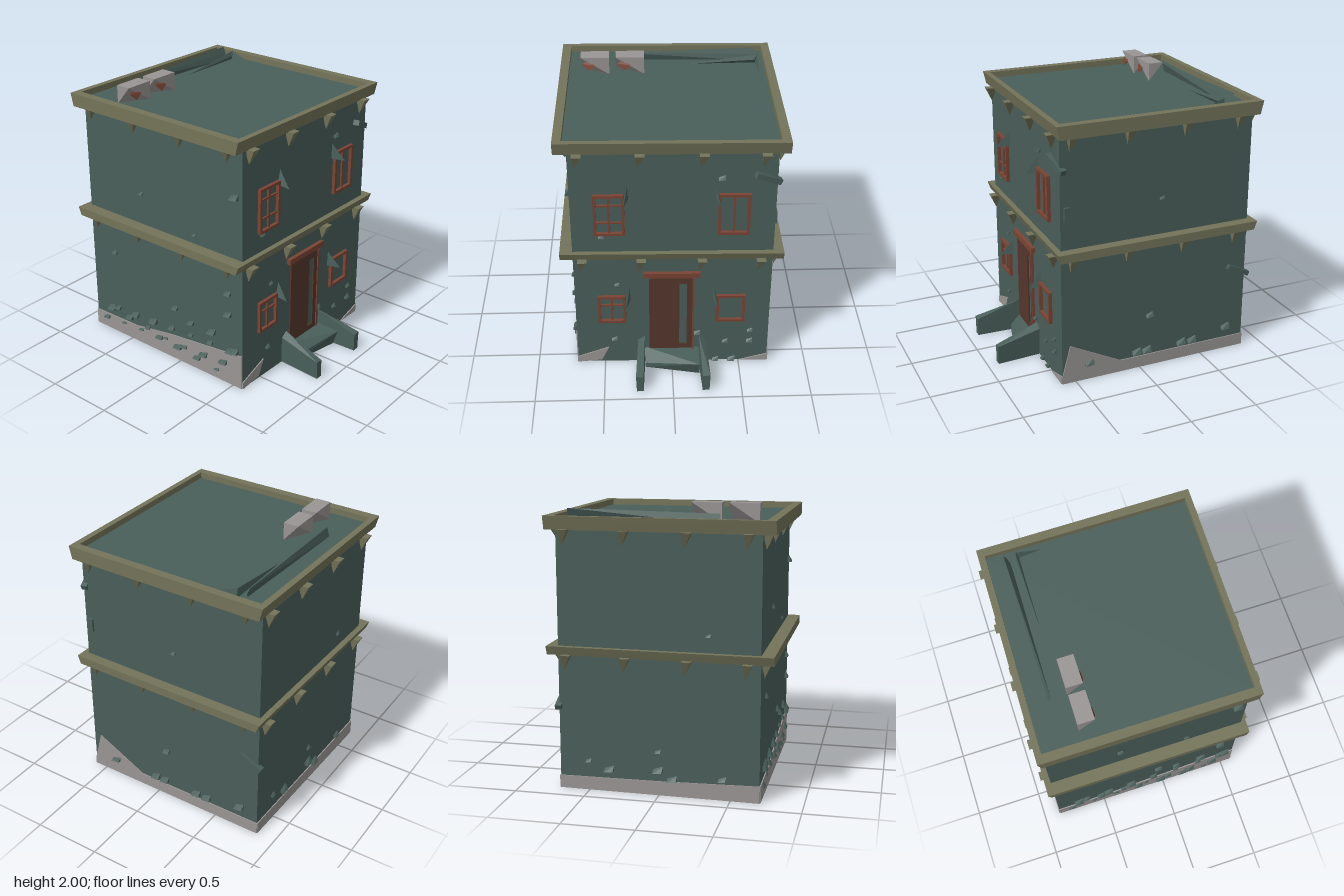
import * as THREE from 'three';
import { ConvexGeometry } from 'three/addons/geometries/ConvexGeometry.js';

const mat = (name, color) => {
  const m = new THREE.MeshStandardMaterial({ color, side: THREE.DoubleSide });
  m.name = name;
  return m;
};

export function createModel() {
  const root = new THREE.Group();
  root.name = 'ruinedHouse';
  const teal = mat('tealPlaster', 0x4a5f5a);
  const tan = mat('oliveStone', 0x74745a);
  const grey = mat('greyStone', 0x9a9595);
  const wood = mat('redWood', 0x7a4434);
  const door = mat('darkWood', 0x55362c);

  const add = (parent, name, geo, m, x = 0, y = 0, z = 0) => {
    const mesh = new THREE.Mesh(geo, m);
    mesh.name = name;
    mesh.position.set(x, y, z);
    parent.add(mesh);
    return mesh;
  };
  const hull = (pts) => new ConvexGeometry(pts.map((p) => new THREE.Vector3(...p)));
  const box = (parent, name, m, x0, x1, y0, y1, z0, z1) =>
    add(parent, name, new THREE.BoxGeometry(x1 - x0, y1 - y0, z1 - z0), m, (x0 + x1) / 2, (y0 + y1) / 2, (z0 + z1) / 2);
  const plate = (parent, name, m, pts, depth, z = 0, hole) => {
    const shape = new THREE.Shape(pts.map((p) => new THREE.Vector2(...p)));
    if (hole) shape.holes.push(new THREE.Path(hole.map((p) => new THREE.Vector2(...p))));
    return add(parent, name, new THREE.ExtrudeGeometry(shape, { depth, bevelEnabled: false }), m, 0, 0, z);
  };
  const rect = (a, b, c, d) => [[a, c], [b, c], [b, d], [a, d]];

  // Slightly skewed plan corners: front left, front right, back right, back left
  const wallPlan = [[-0.70, 0.58], [0.713, 0.60], [0.713, -0.85], [-0.70, -0.875]];
  const bandPlan = [[-0.79, 0.615], [0.787, 0.645], [0.79, -0.89], [-0.79, -0.92]];
  const rimPlan = [[-0.73, 0.575], [0.725, 0.60], [0.73, -0.845], [-0.725, -0.875]];
  const centre = [[0, -0.13], [0, -0.13], [0, -0.13], [0, -0.13]];
  const ring = (plan, y, k = 1) => plan.map(([x, z]) => new THREE.Vector3(x, y, (z + 0.13) * k - 0.13));

  // Flat-faced skin through four-cornered rings
  const loft = (rings) => {
    const pts = [];
    for (let r = 0; r + 1 < rings.length; r++) {
      for (let i = 0; i < 4; i++) {
        const j = (i + 1) % 4;
        const [a, b, c, d] = [rings[r][i], rings[r][j], rings[r + 1][j], rings[r + 1][i]];
        if (a.distanceTo(b) > 1e-4) pts.push(a, b, c);
        if (c.distanceTo(d) > 1e-4) pts.push(a, c, d);
      }
    }
    const g = new THREE.BufferGeometry().setFromPoints(pts);
    g.computeVertexNormals();
    return g;
  };

  add(root, 'walls', loft([ring(wallPlan, 0), ring(wallPlan, 1.84)]), teal);
  add(root, 'roof', loft([ring(rimPlan, 1.87), ring(centre, 1.87)]), teal);
  add(root, 'cornice', loft([ring(wallPlan, 1.82), ring(bandPlan, 1.82, 0.97), ring(bandPlan, 1.915),
    ring(rimPlan, 1.915), ring(rimPlan, 1.87)]), tan);
  add(root, 'floorBand', loft([ring(centre, 0.96), ring(bandPlan, 0.96, 0.97), ring(bandPlan, 1.022),
    ring(wallPlan, 1.022)]), tan);

  // One group per wall: local x runs along the wall, local z points outward
  const sides = ['front', 'right', 'back', 'left'].map((name, i) => {
    const [a, b] = [wallPlan[i], wallPlan[(i + 1) % 4]];
    const g = new THREE.Group();
    g.name = name + 'Side';
    g.position.set((a[0] + b[0]) / 2, 0, (a[1] + b[1]) / 2);
    g.rotation.y = Math.atan2(-(b[1] - a[1]), b[0] - a[0]);
    root.add(g);
    return g;
  });
  const [front, right, back, left] = sides;

  // Pointed brackets below both bands
  const bracket = hull([[-0.033, 0, -0.01], [0.033, 0, -0.01], [-0.033, 0, 0.065], [0.033, 0, 0.065], [-0.02, -0.11, 0.015]]);
  for (const s of sides) for (const y of [0.965, 1.825]) for (const x of [-0.64, -0.222, 0.207, 0.622]) {
    add(s, 'bracket', bracket, tan, x, y, 0);
  }

  // Exposed stone footing
  plate(right, 'footing', grey, [[-0.727, 0], [0.727, 0], [0.727, 0.09], [-0.28, 0.09], [-0.665, 0.29], [-0.727, 0.05]], 0.008);
  plate(back, 'footing', grey, [[-0.71, 0], [0.71, 0], [0.71, 0.12], [0, 0.1], [-0.71, 0.09]], 0.008);
  plate(left, 'footing', grey, [[-0.727, 0], [0.727, 0], [0.727, 0.27], [0.05, 0.19], [-0.3, 0.13], [-0.727, 0.12]], 0.008);
  plate(front, 'footing', grey, [[-0.71, 0], [-0.53, 0.02], [-0.475, 0.14], [-0.66, 0.07], [-0.71, 0.05]], 0.008);
  plate(front, 'footing', grey, [[0.5, 0], [0.705, 0], [0.705, 0.06]], 0.008);

  // Windows with bars
  const windowAt = (x0, x1, y0, y1, bars, rows) => {
    const t = 0.02;
    plate(front, 'windowFrame', wood, rect(x0, x1, y0, y1), 0.04, -0.015, rect(x0 + t, x1 - t, y0 + t, y1 - t));
    const c = (x0 + x1) / 2;
    if (bars) box(front, 'windowBar', wood, c - 0.008, c + 0.008, y0 + t, y1 - t, -0.005, 0.014);
    for (const y of rows) box(front, 'windowBar', wood, x0 + t, x1 - t, y - 0.006, y + 0.006, -0.005, 0.014);
  };
  windowAt(-0.548, -0.333, 1.17, 1.5, true, [1.27, 1.41]);
  windowAt(0.312, 0.532, 1.17, 1.5, true, []);
  windowAt(-0.543, -0.34, 0.39, 0.63, true, [0.545]);
  windowAt(0.315, 0.525, 0.39, 0.63, false, []);

  // Torn shards at the window corners
  for (const y of [0.585, 1.455]) for (const s of [-1, 1]) {
    add(front, 'windowShard', hull([[0, 0, 0], [0.03 * s, 0.01, 0], [0.005 * s, 0.115, 0], [0.03 * s, 0, 0.1]]), teal,
      s < 0 ? -0.305 : 0.29, y, 0);
  }

  // Door with glazed slot, lintel
  plate(front, 'door', door, rect(-0.172, 0.152, 0.13, 0.785), 0.012, 0, rect(0.048, 0.103, 0.17, 0.735));
  box(front, 'doorPost', wood, 0.142, 0.156, 0.13, 0.785, 0, 0.02);
  box(front, 'lintel', wood, -0.21, 0.195, 0.8, 0.84, -0.01, 0.03);

  // Broken doorstep and splayed cheek walls
  add(root, 'doorstep', hull([[-0.2, 0, 0.58], [0.2, 0, 0.58], [0.2, 0.13, 0.58], [-0.2, 0.13, 0.58],
    [-0.2, 0.04, 0.66], [-0.2, 0, 0.66], [0.2, 0.12, 0.78], [0.2, 0, 0.74]]), teal);
  for (const s of [-1, 1]) {
    add(root, 'stepCheek', hull([[0.2 * s, 0, 0.58], [0.245 * s, 0, 0.58], [0.2 * s, 0.245, 0.59], [0.25 * s, 0.21, 0.59],
      [0.215 * s, 0, 0.92], [0.265 * s, 0, 0.92], [0.215 * s, 0.135, 0.92], [0.27 * s, 0.14, 0.92]]), teal);
  }

  // Loose wedge-shaped bricks
  const brick = hull([[-0.035, 0, -0.05], [0.035, 0, -0.05], [-0.035, 0, 0.03], [0.03, 0.005, 0.03],
    [-0.03, 0.05, -0.03], [0.035, 0.045, 0.005]]);
  const bricks = (side, list) => list.forEach(([x, y, k = 1]) => add(side, 'looseBrick', brick, teal, x, y, 0).scale.setScalar(k));
  bricks(front, [[0.18, 0.26, 0.7], [0.39, 0.18, 0.6], [0.57, 0.18, 0.7], [0.57, 0.28, 0.6], [-0.43, 0.21, 0.6],
    [-0.4, 0.72, 0.5], [0.33, 1.61, 0.7], [-0.5, 1.14, 0.6], [0.44, 0, 0.8], [0.32, 0, 0.7]]);
  bricks(right, [[-0.52, 0.11], [-0.15, 0.11], [-0.07, 0.11], [0.21, 0.11], [0.3, 0.11], [0.58, 0.16],
    [-0.05, 0.39, 0.8], [0.03, 1.28, 0.5]]);
  bricks(back, [[-0.35, 0.14], [0, 0.16], [0.1, 0.1], [0, 0.3, 0.6], [0.35, 1.13, 0.5], [-0.5, 0.2, 0.6], [0.45, 0.13, 0.8]]);
  bricks(left, [[-0.5, 0.68, 0.7], [0.25, 0.35, 0.8], [0.45, 0.35], [0.6, 0.55, 0.9], [0.66, 0.27], [0.7, 0.99, 0.6],
    [0.6, 0.72, 0.8], [-0.2, 1.25, 0.6], [0.66, 1.46], [0.1, 0.42, 0.8], [0.3, 1.08, 0.5]]);
  for (let i = 0; i < 21; i++) {
    const row = i % 3;
    bricks(left, [[-0.62 + i * 0.062, 0.08 + row * 0.075 + 0.03 * Math.sin(i * 2.3), 0.85 + 0.25 * Math.sin(i * 1.7)]]);
  }

  // Broken beams sticking out at two corners
  const beam1 = box(front, 'brokenBeam', teal, 0.545, 0.74, 1.6, 1.64, -0.02, 0.025);
  beam1.rotation.set(0, 0.25, -0.42);
  const beam2 = box(right, 'brokenBeam', teal, 0.57, 0.76, 0.61, 0.645, -0.02, 0.025);
  beam2.rotation.z = -0.45;
  box(right, 'cornerChip', teal, -0.7, -0.66, 1.23, 1.33, -0.01, 0.015);

  // Tapering stone vents on the roof with a wooden shard in front
  for (const x of [-0.638, -0.38]) {
    add(root, 'roofVent', hull([[x, 2, -0.6], [x + 0.21, 2, -0.6], [x + 0.21, 2, -0.485], [x, 2, -0.485],
      [x, 1.865, -0.6], [x + 0.21, 1.865, -0.485]]), grey);
    add(root, 'ventShard', hull([[x + 0.01, 1.95, -0.49], [x + 0.06, 1.975, -0.5], [x + 0.11, 1.94, -0.475],
      [x + 0.06, 1.9, -0.47], [x + 0.06, 1.94, -0.53]]), wood);
  }

  // Collapsed slats lying across the roof
  add(root, 'roofSlat', hull([[-0.39, 1.865, -0.73], [-0.39, 1.935, -0.71], [0.67, 1.955, -0.725], [0.64, 1.865, -0.69],
    [0.67, 1.91, -0.705]]), teal);
  add(root, 'roofSlat', hull([[0.1, 1.865, -0.635], [0.67, 1.865, -0.645], [0.68, 1.935, -0.64], [0.66, 1.9, -0.625]]), teal);
  add(root, 'roofSlat', hull([[0.665, 1.865, -0.64], [0.685, 1.865, -0.64], [0.68, 1.935, -0.64], [0.683, 1.865, -0.45]]), teal);
  return root;
}
